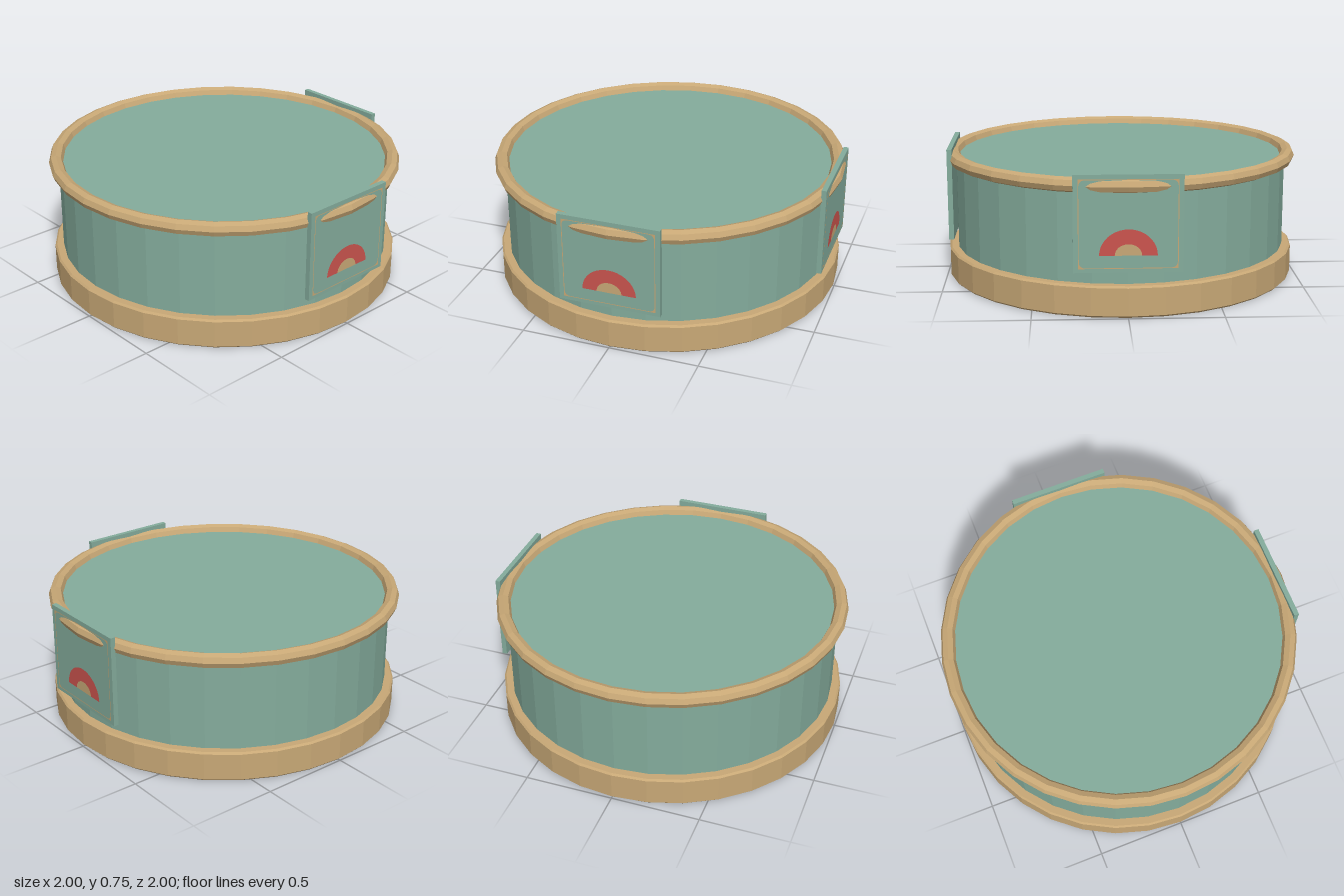
import * as THREE from 'three';

const SIDES = 32;
const mat = (name, color) => {
  const m = new THREE.MeshStandardMaterial({ color });
  m.name = name;
  return m;
};

export function createModel() {
  const model = new THREE.Group();
  model.name = 'roundBox';
  const green = mat('sageGreen', 0x84ac9c);
  const tan = mat('tan', 0xc8a876);
  const red = mat('red', 0xcb544e);

  // Every part is faceted, so geometries are unindexed with flat normals
  const add = (parent, name, geometry, material) => {
    const g = geometry.index ? geometry.toNonIndexed() : geometry;
    g.computeVertexNormals();
    const mesh = new THREE.Mesh(g, material);
    mesh.name = name;
    parent.add(mesh);
    return mesh;
  };

  // Base with small chamfers
  const baseProfile = [[0, 0], [0.985, 0], [0.995, 0.01], [0.995, 0.16], [0.985, 0.17], [0, 0.17]]
    .map(([x, y]) => new THREE.Vector2(x, y));
  add(model, 'base', new THREE.LatheGeometry(baseProfile, SIDES), tan);

  // Drum body; its top is the lid surface
  const body = add(model, 'body', new THREE.CylinderGeometry(0.945, 0.945, 0.53, SIDES), green);
  body.position.y = 0.425;

  // Rolled rim around the lid
  const rim = add(model, 'rim', new THREE.TorusGeometry(0.96, 0.04, 8, SIDES).rotateX(Math.PI / 2), tan);
  rim.position.y = 0.69;

  // Thin border line whose rounded opening leaves filled corners
  const border = new THREE.Shape();
  const w = 0.257, b = 0.261, t = 0.728;
  border.moveTo(-w, b).lineTo(w, b).lineTo(w, t).lineTo(-w, t).closePath();
  const hole = new THREE.Path();
  const i = 0.253, ib = 0.265, it = 0.724, r = 0.035;
  hole.moveTo(-i + r, ib).lineTo(i - r, ib).quadraticCurveTo(i, ib, i, ib + r);
  hole.lineTo(i, it - r).quadraticCurveTo(i, it, i - r, it);
  hole.lineTo(-i + r, it).quadraticCurveTo(-i, it, -i, it - r);
  hole.lineTo(-i, ib + r).quadraticCurveTo(-i, ib, -i + r, ib);
  border.holes.push(hole);

  // Half-round emblem: red arch around a tan centre
  const arch = new THREE.Shape();
  arch.moveTo(0.15, 0.33).absellipse(0, 0.33, 0.15, 0.138, 0, Math.PI, false);
  arch.lineTo(-0.07, 0.33).absellipse(0, 0.33, 0.07, 0.06, Math.PI, 0, true);
  arch.closePath();
  const centre = new THREE.Shape();
  centre.absellipse(0, 0.33, 0.07, 0.06, 0, Math.PI, false);
  centre.closePath();

  // Square label panels on the front and on the left (+x)
  [['frontPanel', 0], ['sidePanel', Math.PI / 2]].forEach(([name, angle]) => {
    const panel = new THREE.Group();
    panel.name = name;
    const plate = add(panel, 'panelPlate', new THREE.BoxGeometry(0.565, 0.512, 0.028), green);
    plate.position.set(0, 0.496, 0.96);
    const painted = [['panelBorder', border, tan], ['emblemArch', arch, red], ['emblemCentre', centre, tan]];
    for (const [part, shape, material] of painted) {
      add(panel, part, new THREE.ShapeGeometry(shape, 10), material).position.z = 0.9755;
    }
    panel.rotation.y = angle;
    model.add(panel);
  });

  return model;
}
